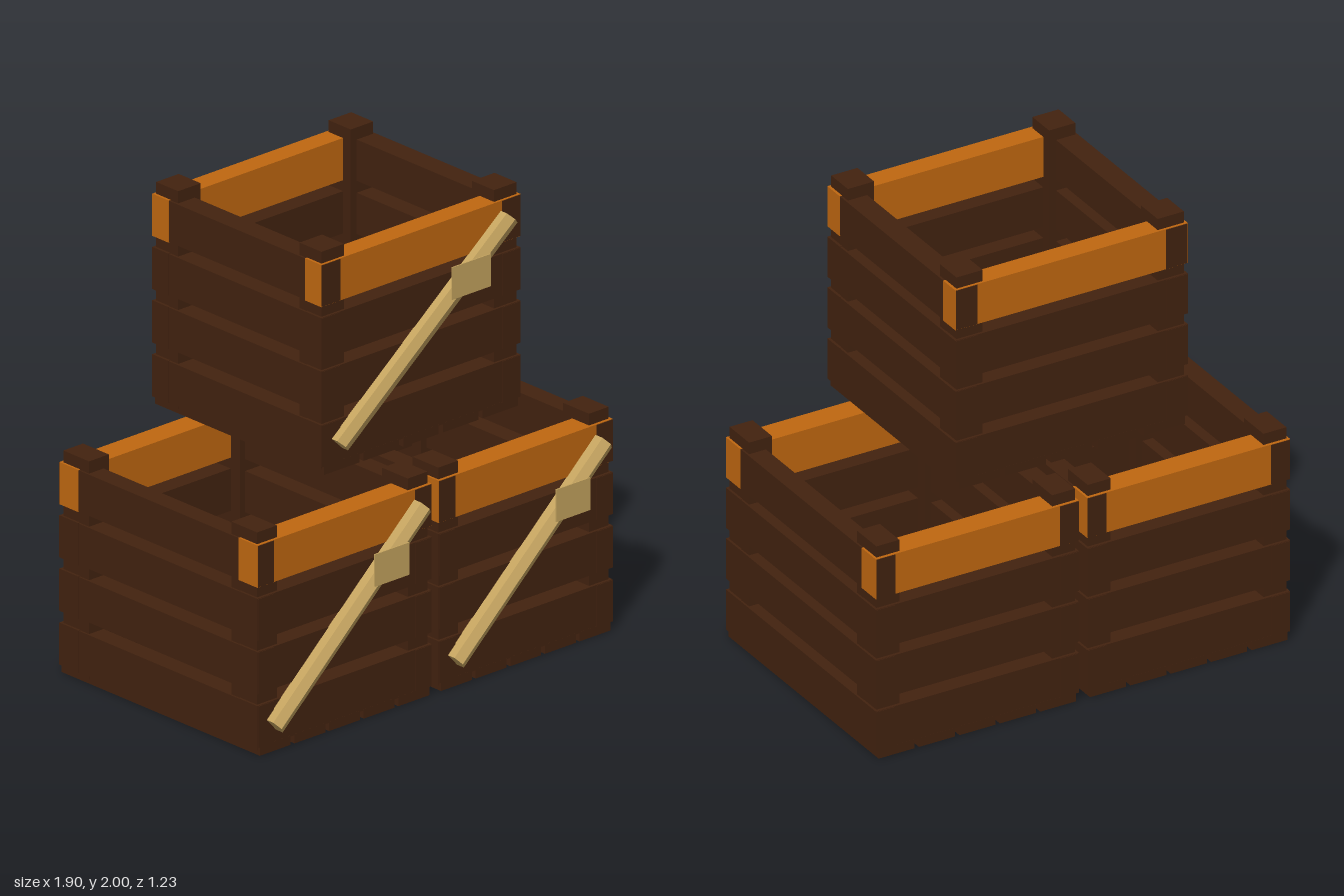
import * as THREE from 'three';

const material = (name, color) => {
  const m = new THREE.MeshStandardMaterial({ color });
  m.name = name;
  return m;
};

export function createModel() {
  const darkWood = material('dark wood', 0x42220f);
  const orangeWood = material('orange wood', 0xbf6710);
  const paleWood = material('pale wood', 0xc4a35e);

  // Box given by its size and centre
  const box = (parent, name, mat, [w, h, d], [x, y, z]) => {
    const mesh = new THREE.Mesh(new THREE.BoxGeometry(w, h, d), mat);
    mesh.name = name;
    mesh.position.set(x, y, z);
    parent.add(mesh);
  };

  const makeCrate = (name) => {
    const crate = new THREE.Group();
    crate.name = name;

    // Floor boards with narrow gaps
    for (let i = -2; i <= 2; i++) {
      box(crate, 'floorBoard', darkWood, [0.165, 0.04, 1.152], [i * 0.185, 0.02, 0]);
    }

    // Corner posts
    for (const sx of [-1, 1]) {
      for (const sz of [-1, 1]) {
        box(crate, 'cornerPost', darkWood, [0.105, 0.93, 0.15], [sx * 0.4025, 0.485, sz * 0.488]);
      }
    }

    // Four rows of slats; the top row is orange at the front and back
    [0.125, 0.355, 0.583, 0.81].forEach((y, row) => {
      const top = row === 3;
      for (const s of [-1, 1]) {
        box(crate, top ? 'topEndSlat' : 'endSlat', top ? orangeWood : darkWood,
          [0.93, 0.18, 0.11], [0, y, s * 0.5205]);
        box(crate, 'sideSlat', darkWood, [0.085, 0.176, 1.157], [s * 0.4205, y, 0]);
      }
    });

    // Six-sided diagonal brace on the front
    const dx = 0.791, dy = 0.714;
    const brace = new THREE.Mesh(
      new THREE.CylinderGeometry(0.043, 0.043, Math.hypot(dx, dy), 6).toNonIndexed(), paleWood);
    brace.geometry.computeVertexNormals();
    brace.name = 'diagonalBrace';
    brace.position.set(0.0025, 0.473, 0.595);
    brace.rotation.z = -Math.atan2(dx, dy);
    crate.add(brace);

    // Blank tag in front of the brace
    box(crate, 'tag', paleWood, [0.182, 0.138, 0.006], [0.184, 0.658, 0.65]);
    return crate;
  };

  const model = new THREE.Group();
  model.name = 'crateStack';
  const place = (name, x, y, sx, sz) => {
    const crate = makeCrate(name);
    crate.position.set(x, y, -0.0375);
    crate.scale.set(sx, 1, sz);
    model.add(crate);
  };
  place('rightCrate', -0.485, 0, 1, 1);
  place('leftCrate', 0.483, 0, 1, 1);
  place('topCrate', 0.001, 1.052, 1.145, 0.853);
  return model;
}
